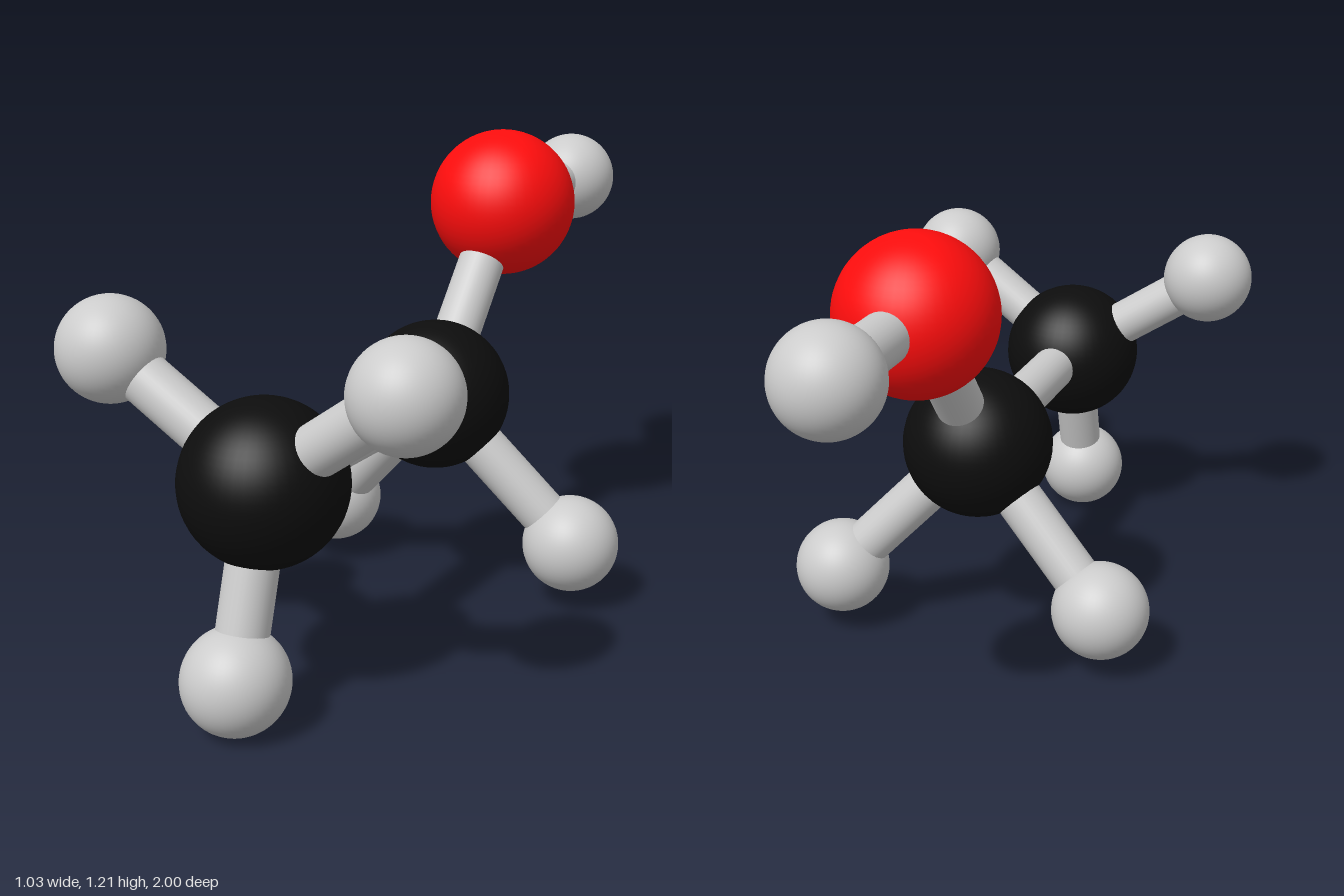
import * as THREE from 'three';

export function createModel() {
  const model = new THREE.Group();
  model.name = 'moleculeModel';

  const grey = new THREE.MeshStandardMaterial({ color: 0xcccccc });
  const black = new THREE.MeshStandardMaterial({ color: 0x0d0d0d });
  const red = new THREE.MeshStandardMaterial({ color: 0xff0d0d });

  // Ball sizes and colours by element
  const kinds = {
    carbon: { radius: 0.195, material: black },
    oxygen: { radius: 0.197, material: red },
    hydrogen: { radius: 0.126, material: grey },
  };

  // Each atom: kind and centre
  const atoms = {
    frontCarbon: ['carbon', 0.005, 0.555, 0.745],
    backCarbon: ['carbon', 0.005, 0.555, -0.037],
    oxygen: ['oxygen', 0.014, 1.01, -0.4],
    oxygenHydrogen: ['hydrogen', 0.004, 1.015, -0.875],
    frontLeftHydrogen: ['hydrogen', 0.388, 0.82, 0.777],
    frontRightHydrogen: ['hydrogen', -0.393, 0.816, 0.77],
    frontLowerHydrogen: ['hydrogen', 0.005, 0.128, 0.875],
    backLeftHydrogen: ['hydrogen', 0.365, 0.174, -0.124],
    backRightHydrogen: ['hydrogen', -0.365, 0.177, -0.124],
  };

  // Pairs joined by a rod
  const bonds = [
    ['frontCarbon', 'backCarbon'],
    ['backCarbon', 'oxygen'],
    ['oxygen', 'oxygenHydrogen'],
    ['frontCarbon', 'frontLeftHydrogen'],
    ['frontCarbon', 'frontRightHydrogen'],
    ['frontCarbon', 'frontLowerHydrogen'],
    ['backCarbon', 'backLeftHydrogen'],
    ['backCarbon', 'backRightHydrogen'],
  ];

  // Balls
  for (const [name, [kind, x, y, z]] of Object.entries(atoms)) {
    const { radius, material } = kinds[kind];
    const ball = new THREE.Mesh(new THREE.SphereGeometry(radius, 48, 32), material);
    ball.name = name + 'Ball';
    ball.position.set(x, y, z);
    model.add(ball);
  }

  // Rods, running from centre to centre
  const up = new THREE.Vector3(0, 1, 0);
  for (const [from, to] of bonds) {
    const a = new THREE.Vector3(...atoms[from].slice(1));
    const b = new THREE.Vector3(...atoms[to].slice(1));
    const rod = new THREE.Mesh(
      new THREE.CylinderGeometry(0.062, 0.062, a.distanceTo(b), 32),
      grey
    );
    rod.name = `${from}To${to[0].toUpperCase()}${to.slice(1)}Rod`;
    rod.position.lerpVectors(a, b, 0.5);
    rod.quaternion.setFromUnitVectors(up, b.clone().sub(a).normalize());
    model.add(rod);
  }

  return model;
}
